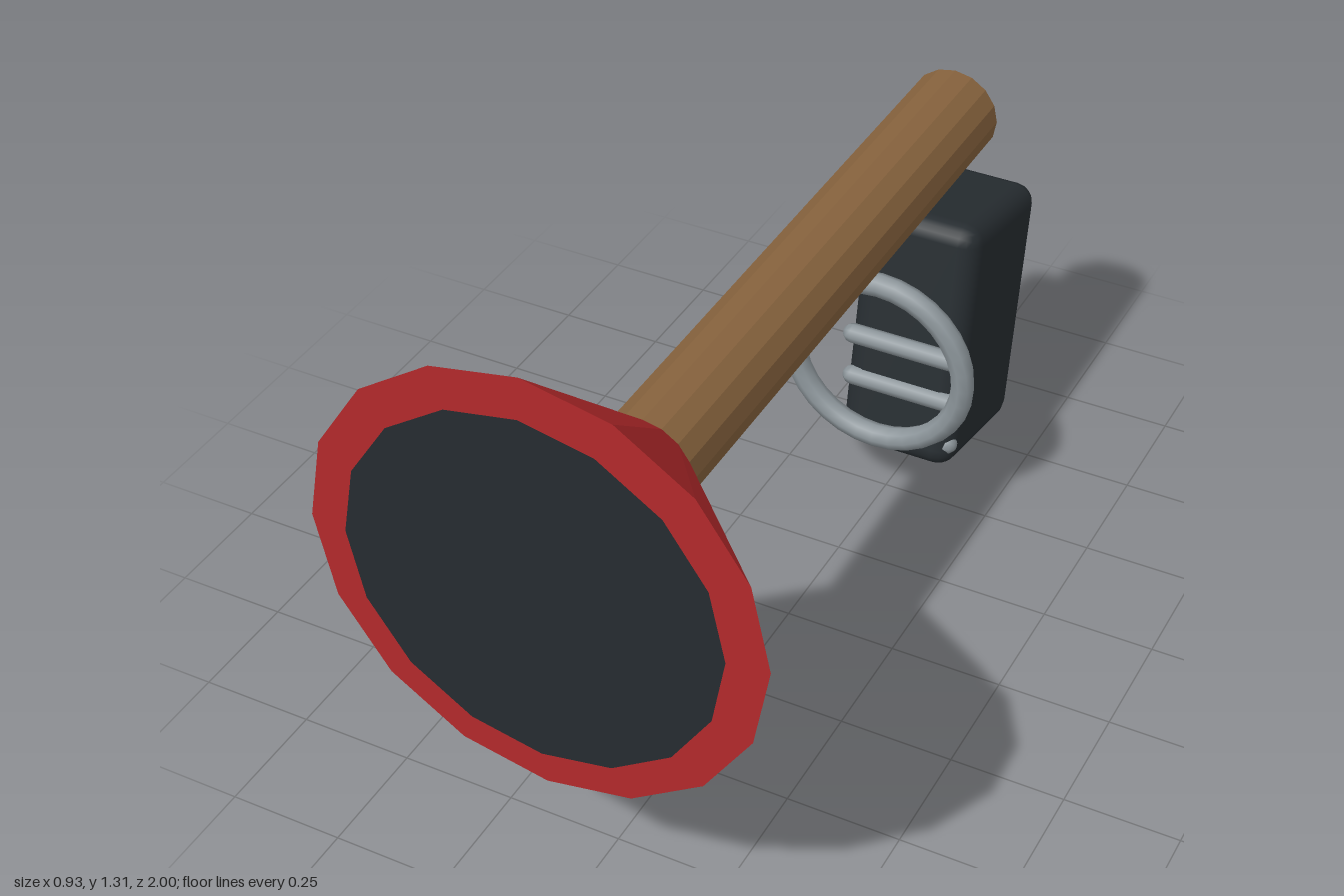
import * as THREE from 'three';
import { RoundedBoxGeometry } from 'three/addons/geometries/RoundedBoxGeometry.js';

export function createModel() {
  const model = new THREE.Group();
  const mat = (color, flatShading = false) => new THREE.MeshStandardMaterial({ color, flatShading });
  const red = mat(0xb3292b, true);
  const wood = mat(0x86623d, true);
  const dark = mat(0x262c30);
  const metal = mat(0x8b9499);

  const add = (name, geometry, material, x, y, z) => {
    const mesh = new THREE.Mesh(geometry, material);
    mesh.name = name;
    mesh.position.set(x, y, z);
    model.add(mesh);
    return mesh;
  };
  const axisY = 0.84;

  // Flared horn, closed at the wide front end
  add('horn', new THREE.CylinderGeometry(0.465, 0.104, 0.395, 16).rotateX(Math.PI / 2), red, 0, axisY, 0.7875);

  // Dark disc floating just ahead of the horn
  const disc = add('mouthDisc', new THREE.CircleGeometry(0.385, 16), dark.clone(), 0, axisY, 0.997);
  disc.material.side = THREE.DoubleSide;

  // Long round body behind the horn
  add('barrel', new THREE.CylinderGeometry(0.104, 0.104, 1.4, 16).rotateX(Math.PI / 2), wood, 0, axisY, -0.11);

  // Tilted grip block with softened edges
  const grip = add('grip', new RoundedBoxGeometry(0.28, 0.6, 0.372, 2, 0.045), dark, 0, 0.322, -0.767);
  grip.rotation.x = -0.2;

  // Finger ridges across the front of the grip
  for (const y of [0.117, 0.235, 0.352]) {
    add('gripRidge', new THREE.CapsuleGeometry(0.023, 0.244, 3, 8).rotateZ(Math.PI / 2), metal, 0, y, -0.566);
  }

  // Trigger ring
  add('triggerRing', new THREE.TorusGeometry(0.206, 0.027, 8, 32), metal, 0, 0.398, -0.436);

  return model;
}
